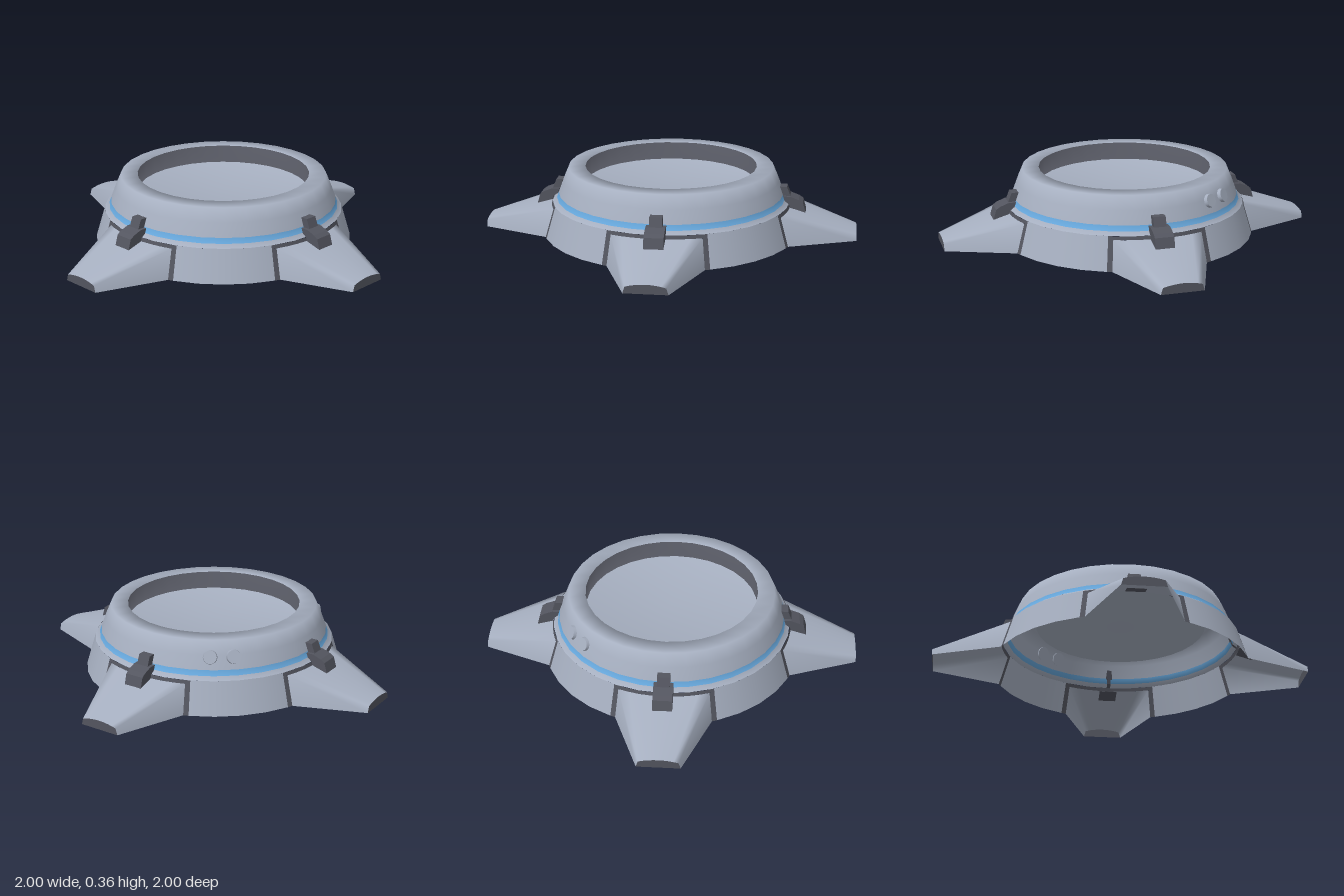
import * as THREE from 'three';

const mat = (name, color) =>
  new THREE.MeshStandardMaterial({ name, color, side: THREE.DoubleSide });
const rad = THREE.MathUtils.degToRad;

// shell radius at height y on the lower skirt
const skirtRadius = (y) => 0.69 - 0.3 * y;

export function createModel() {
  const hull = mat('hull grey', 0xa6afc0);
  const dark = mat('dark trim', 0x53555f);
  const blue = mat('blue stripe', 0x66a6da);
  const root = new THREE.Group();
  root.name = 'ringBase';

  const add = (parent, name, geometry, material) => {
    const mesh = new THREE.Mesh(geometry, material);
    mesh.name = name;
    parent.add(mesh);
    return mesh;
  };

  // revolved surface between two angles (degrees from +z)
  const revolve = (points, from, to, segments) =>
    new THREE.LatheGeometry(points.map(([r, y]) => new THREE.Vector2(r, y)),
      segments, rad(from), rad(to - from));
  const skirt = (y0, y1, from, to, segments) =>
    revolve([[skirtRadius(y0), y0], [skirtRadius(y1), y1]], from, to, segments);

  // one smooth shell: shoulder, stripe, upper wall, rim, inner wall, flat floor
  const profile = [[skirtRadius(0.17), 0.17], [0.616, 0.187], [0.606, 0.215],
    [0.58, 0.285], [0.55, 0.355], [0.46, 0.357], [0.46, 0.26], [0, 0.26]];
  const bandMaterial = [0, 2, 0, 0, 0, 1, 0];
  const shell = revolve(profile, 0, 360, 32);
  for (let s = 0; s < 32; s++) {
    bandMaterial.forEach((m, b) => shell.addGroup((s * bandMaterial.length + b) * 6, 6, m));
  }
  add(root, 'upperShell', shell, [hull, dark, blue]);

  // leg: hollow loft from the curved shell opening to a narrow tip
  const half = 21;
  const steps = 8;
  const onShell = (angle, y) => [
    skirtRadius(y) * Math.sin(rad(angle)), y, skirtRadius(y) * Math.cos(rad(angle))];
  const base = [onShell(half, 0)];
  const tip = [[0.11, 0, 1]];
  for (let i = 0; i <= steps; i++) {
    const t = 1 - (2 * i) / steps;
    base.push(onShell(half * t, 0.152));
    tip.push([0.1 * t, 0.048 - 0.014 * t * t, 1]);
  }
  base.push(onShell(-half, 0));
  tip.push([-0.11, 0, 1]);
  const index = [];
  const n = base.length;
  for (let i = 0; i < n - 1; i++) {
    index.push(i, i + 1, n + i + 1, i, n + i + 1, n + i);
  }
  const legGeometry = new THREE.BufferGeometry();
  legGeometry.setAttribute('position', new THREE.Float32BufferAttribute([...base, ...tip].flat(), 3));
  legGeometry.setIndex(index);
  legGeometry.computeVertexNormals();
  const tipGeometry = new THREE.ShapeGeometry(
    new THREE.Shape(tip.map(([x, y]) => new THREE.Vector2(x, y))));

  // clamp side profiles (distance from centre, height) that rest on the shell
  const clampPart = (points, width) => {
    const shape = new THREE.Shape(points.map(([r, y]) => new THREE.Vector2(r, y)));
    return new THREE.ExtrudeGeometry(shape, { depth: width, bevelEnabled: false })
      .translate(0, 0, -width / 2).rotateY(-Math.PI / 2);
  };
  const clampBody = clampPart([[0.645, 0.15], [0.728, 0.126], [0.712, 0.18], [0.69, 0.195],
    [0.645, 0.212], [0.606, 0.212], [0.615, 0.187], [0.638, 0.17]], 0.1);
  const clampTop = clampPart([[0.606, 0.21], [0.645, 0.21], [0.625, 0.26], [0.588, 0.26]], 0.065);

  // four identical quarters
  for (let q = 0; q < 4; q++) {
    const quarter = new THREE.Group();
    quarter.name = 'quarter' + (q + 1);
    quarter.rotation.y = q * Math.PI / 2;
    root.add(quarter);
    add(quarter, 'leg', legGeometry, hull);
    add(quarter, 'legTip', tipGeometry, dark).position.z = 1;
    add(quarter, 'trimTop', skirt(0.152, 0.17, -23.3, 23.3, 8), dark);
    add(quarter, 'trimLeft', skirt(0, 0.152, half, 23.3, 1), dark);
    add(quarter, 'trimRight', skirt(0, 0.152, -23.3, -half, 1), dark);
    add(quarter, 'skirtPanel', skirt(0, 0.17, 23.3, 66.7, 4), hull);
    // the clamp sits on the outside of the shell
    const clamp = new THREE.Group();
    clamp.name = 'clamp';
    quarter.add(clamp);
    add(clamp, 'clampBody', clampBody, dark);
    add(clamp, 'clampTop', clampTop, dark);
  }

  // two round buttons on the back left of the upper shell
  for (const angle of [122, 133.5]) {
    const pivot = new THREE.Group();
    pivot.name = 'buttonMount';
    pivot.rotation.y = rad(angle);
    root.add(pivot);
    const button = add(pivot, 'button', new THREE.CylinderGeometry(0.034, 0.038, 0.024, 16), hull);
    button.position.set(0, 0.277, 0.585);
    button.rotation.x = rad(70);
  }
  return root;
}
